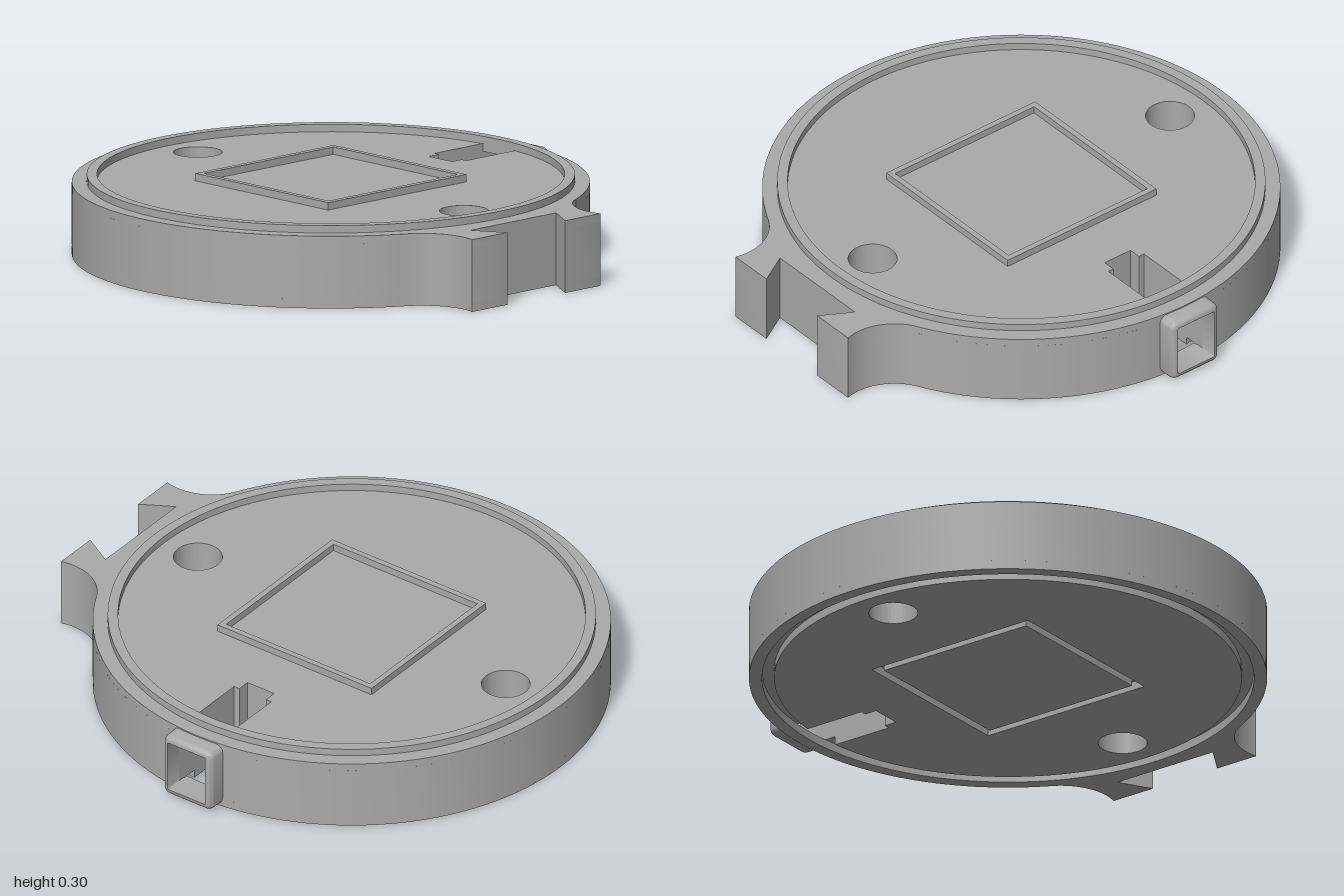
import * as THREE from 'three';
import { toCreasedNormals } from 'three/addons/utils/BufferGeometryUtils.js';

const R = 0.953;                       // disc radius
const LOW = 0.033, HIGH = 0.242;       // floor and ceiling of the side port
const TOP = 0.272, LIP = 0.3;          // deck height and raised lip height
const grey = new THREE.MeshStandardMaterial({ color: 0xaaaaaa });
grey.name = 'plain grey';

// Plan outlines: x runs to the dovetail socket, y runs to the side port
const circle = (r, x = 0, y = 0) => new THREE.Path().absarc(x, y, r, 0, Math.PI * 2, false);
const polygon = (pts) => new THREE.Path(pts.map(([x, y]) => new THREE.Vector2(x, y)));
const square = (h) => polygon([[-h, -h], [h, -h], [h, h], [-h, h], [-h, -h]]);
const solid = (path) => { const s = new THREE.Shape(); s.curves = path.curves; return s; };

const slotInner = [[0.085, 0.61], [0.061, 0.61], [0.061, 0.56], [-0.061, 0.56], [-0.061, 0.61], [-0.085, 0.61]];
const slot = () => polygon([[0.085, 0.86], ...slotInner, [-0.085, 0.86], [0.085, 0.86]]);
const screwHoles = () => [circle(0.09, 0.706, 0), circle(0.09, -0.706, 0)];

// Disc with two flared dovetail ears; the slot may run out through the rim
function bodyOutline(openSlot) {
  const s = new THREE.Shape();
  const cx = 1.035, cy = 0.53, r = 0.21;
  const a = Math.atan2(cy, cx);                       // where the fillet meets the disc
  const tip = Math.atan2(0.325 - cy, 1.09 - cx);
  const gap = Math.asin(0.085 / R);
  s.moveTo(0.968, -0.218);
  s.lineTo(0.968, 0.218);
  s.lineTo(1.09, 0.147);
  s.lineTo(1.09, 0.325);
  s.absarc(cx, cy, r, tip, a - Math.PI, true);
  if (openSlot) {
    s.absarc(0, 0, R, a, Math.PI / 2 - gap, false);
    slotInner.forEach(([x, y]) => s.lineTo(x, y));
    s.absarc(0, 0, R, Math.PI / 2 + gap, Math.PI * 2 - a, false);
  } else {
    s.absarc(0, 0, R, a, Math.PI * 2 - a, false);
  }
  s.absarc(cx, -cy, r, Math.PI - a, -tip, true);
  s.lineTo(1.09, -0.325);
  s.lineTo(1.09, -0.147);
  s.lineTo(0.968, -0.218);
  return s;
}

// Slab of a plan outline between two heights
function slab(name, shape, holes, y0, y1) {
  shape.holes.push(...holes);
  const geo = new THREE.ExtrudeGeometry(shape, { depth: y1 - y0, bevelEnabled: false, curveSegments: 72 });
  geo.rotateX(-Math.PI / 2).translate(0, y0, 0);
  const mesh = new THREE.Mesh(toCreasedNormals(geo, 0.4), grey);
  mesh.name = name;
  return mesh;
}

// Rounded rectangular collar, lofted from inset cross-sections
function portCollar() {
  const w = 0.113, h = 0.1295, cy = 0.1375, rad = 0.03, n = 6;
  const rings = [[0, 0.92]];
  for (let i = 0; i <= 6; i++) {
    const t = (i / 6) * Math.PI / 2;
    rings.push([0.025 * (1 - Math.cos(t)), 0.99 + 0.028 * Math.sin(t)]);
  }
  rings.push([0.027, 1.018], [0.027, 0.92]);
  const pos = [], idx = [], count = 4 * (n + 1);
  for (const [inset, q] of rings) {
    for (let c = 0; c < 4; c++) {
      const sx = c === 0 || c === 3 ? 1 : -1, sy = c < 2 ? 1 : -1;
      for (let k = 0; k <= n; k++) {
        const t = (c + k / n) * Math.PI / 2, r = rad - inset;
        pos.push(sx * (w - rad) + r * Math.cos(t), cy + sy * (h - rad) + r * Math.sin(t), -q);
      }
    }
  }
  for (let i = 0; i < rings.length - 1; i++) {
    for (let j = 0; j < count; j++) {
      const a = i * count + j, b = i * count + (j + 1) % count;
      idx.push(a, a + count, b, b, a + count, b + count);
    }
  }
  const geo = new THREE.BufferGeometry();
  geo.setAttribute('position', new THREE.Float32BufferAttribute(pos, 3));
  geo.setIndex(idx);
  const mesh = new THREE.Mesh(toCreasedNormals(geo, 0.6), grey);
  mesh.name = 'portCollar';
  return mesh;
}

// Underside plate inside the ring groove, notched by the slot
function undersidePlate() {
  const r = 0.86, gap = Math.asin(0.085 / r), s = new THREE.Shape();
  s.absarc(0, 0, r, Math.PI / 2 + gap, Math.PI * 2.5 - gap, false);
  slotInner.forEach(([x, y]) => s.lineTo(x, y));
  return s;
}

export function createModel() {
  const model = new THREE.Group();
  model.name = 'stackableDisc';
  const body = new THREE.Group();
  body.name = 'body';
  body.position.x = -0.047;
  body.rotation.y = THREE.MathUtils.degToRad(-40);
  body.add(
    // underside, with ring and square grooves left between the pieces
    slab('bottomRim', bodyOutline(false), [circle(0.905)], 0, LOW),
    slab('bottomPlate', undersidePlate(), [square(0.358), ...screwHoles()], 0, LOW),
    slab('bottomSquare', solid(square(0.326)), [], 0, LOW),
    // main thickness, with the slot running out to the port
    slab('middleBody', bodyOutline(true), screwHoles(), LOW, HIGH),
    slab('topDeck', bodyOutline(false), [slot(), ...screwHoles()], HIGH, TOP),
    // raised details on the deck
    slab('raisedLip', solid(circle(0.898)), [circle(0.86)], TOP, LIP),
    slab('squareFrame', solid(square(0.353)), [square(0.33)], TOP, LIP),
    portCollar()
  );
  model.add(body);
  return model;
}
